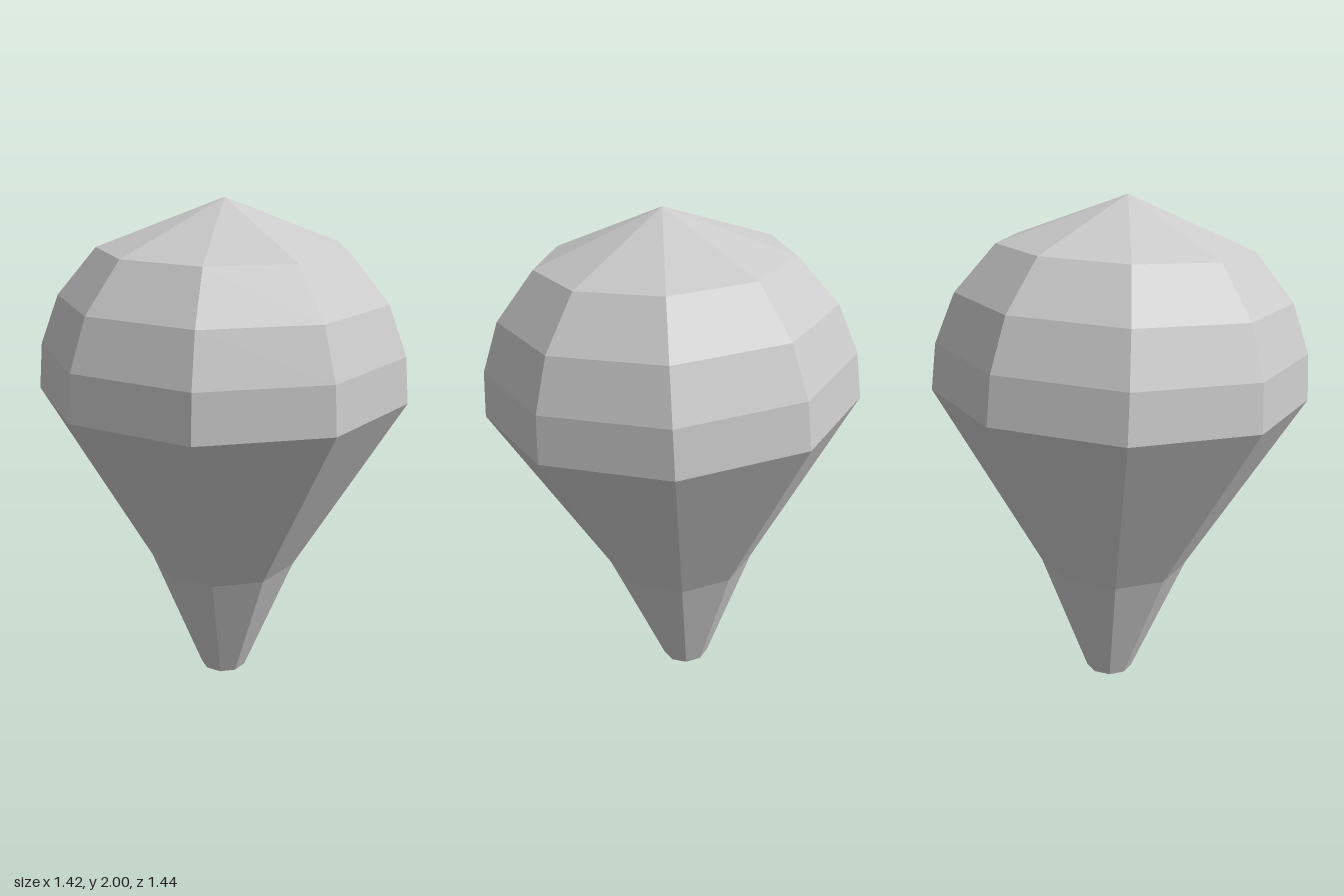
import * as THREE from 'three';

const SIDES = 9;

// Nine-sided shell from [radius, height] rings listed bottom to top
function shell(name, rings, material) {
  const points = rings.map(([r, h]) => new THREE.Vector2(r, h));
  const mesh = new THREE.Mesh(new THREE.LatheGeometry(points, SIDES, Math.PI / 2), material);
  mesh.name = name;
  return mesh;
}

export function createModel() {
  const material = new THREE.MeshStandardMaterial({
    color: 0xcccccc, flatShading: true, side: THREE.DoubleSide,
  });

  // Heights are measured from the widest ring
  const envelope = new THREE.Group();
  envelope.name = 'balloonEnvelope';
  envelope.add(
    // Rounded top with a pointed crown
    shell('dome', [[0.73, 0], [0.713, 0.18], [0.64, 0.37], [0.487, 0.55], [0, 0.735]], material),
    // Taper below the widest ring
    shell('taper', [[0.302, -0.74], [0.73, 0]], material),
    // Narrow neck with an open mouth
    shell('neck', [[0.097, -1.26], [0.302, -0.74]], material),
  );

  // The whole envelope leans slightly
  envelope.rotation.set(0.049, 0, -0.02);
  envelope.position.set(-0.017, 1.265, -0.003);

  const model = new THREE.Group();
  model.name = 'balloon';
  model.add(envelope);
  return model;
}
